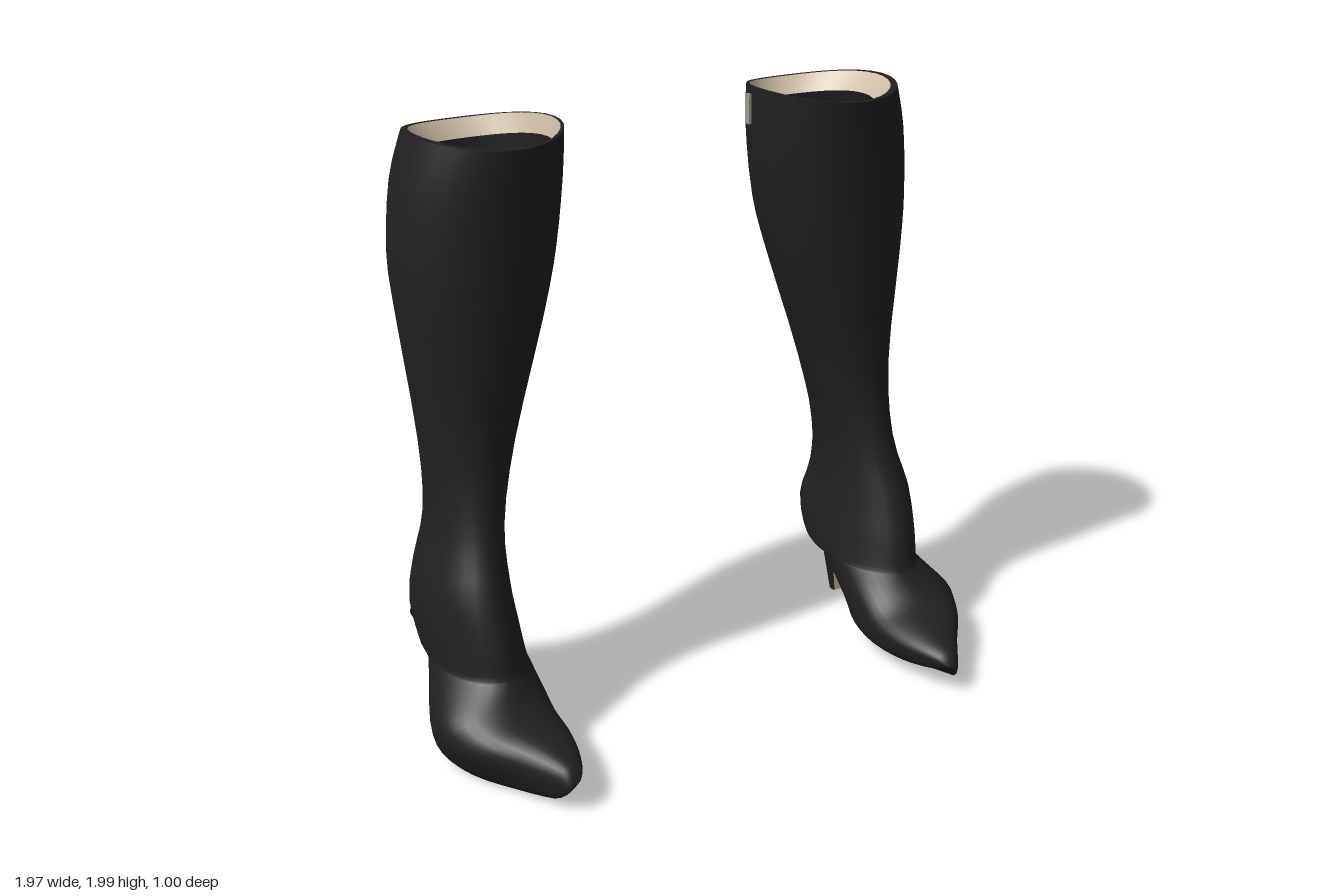
import * as THREE from 'three';

const N = 32; // points around each cross-section
const STEPS = 3; // cross-sections blended between two given ones

// Cross-section: [front z, front y, back z, back y, min x, max x, flatness of back, arch of sides]
const TOP = [0.035, 1.97, -0.495, 1.955, 0.37, 0.855, 0, 0.025];
const RIM_INNER = [0.018, 1.97, -0.48, 1.955, 0.38, 0.832, 0, 0.025];
const LINING_END = [-0.03, 1.91, -0.44, 1.9, 0.392, 0.787, 0, 0.02];

// Level shaft sections: [y, front z, back z, min x, max x]
const SHAFT = [
  [1.83, 0.02, -0.5, 0.37, 0.9],
  [1.6, 0.002, -0.49, 0.395, 0.922],
  [1.4, -0.01, -0.455, 0.445, 0.91],
  [1.0, -0.037, -0.388, 0.57, 0.87],
  [0.74, 0.0, -0.385, 0.637, 0.867],
  [0.56, 0.07, -0.42, 0.645, 0.908],
].map(([y, zf, zb, x0, x1]) => [zf, y, zb, y, x0, x1, 0, 0]);

// Foot sections fan round from level at the ankle to upright at the toe
const FOOT = [
  [0.118, 0.42, -0.476, 0.4, 0.628, 0.918, 0],
  [0.14, 0.32, -0.4, 0.285, 0.62, 0.912, 0.1],
  [0.155, 0.29, -0.28, 0.27, 0.622, 0.918, 0.25],
  [0.2, 0.24, -0.07, 0.135, 0.615, 0.982, 0.8],
  [0.25, 0.215, 0.02, 0.055, 0.612, 0.975, 1],
  [0.32, 0.197, 0.15, 0.028, 0.612, 0.925, 1],
  [0.4, 0.175, 0.3, 0.034, 0.633, 0.84, 1],
  [0.47, 0.15, 0.44, 0.06, 0.67, 0.77, 1],
  [0.497, 0.115, 0.495, 0.09, 0.698, 0.74, 0.6],
  [0.5, 0.102, 0.5, 0.102, 0.715, 0.722, 0],
].map((ring) => [...ring, 0]);

// Heel sections: [y, front z, back z, half width]; turned round so the flat side faces forward
const HEEL = [
  [0.34, -0.25, -0.45, 0.1],
  [0.27, -0.275, -0.39, 0.068],
  [0.2, -0.283, -0.362, 0.046],
  [0.037, -0.291, -0.332, 0.022],
  [0.037, -0.311, -0.311, 0],
].map(([y, zf, zb, w]) => [zb, y, zf, y, 0.785 + w, 0.785 - w, 1, 0]);

// Blend each value of neighbouring sections along a smooth curve
function smooth(rings) {
  const out = [];
  for (let n = 0; n <= (rings.length - 1) * STEPS; n++) {
    const i = Math.min(Math.floor(n / STEPS), rings.length - 2);
    const t = n / STEPS - i;
    const before = rings[Math.max(i - 1, 0)], after = rings[Math.min(i + 2, rings.length - 1)];
    out.push(rings[i].map((p, k) => {
      const q = rings[i + 1][k], m0 = (q - before[k]) / 2, m1 = (after[k] - p) / 2;
      return p + m0 * t + (3 * (q - p) - 2 * m0 - m1) * t * t + (2 * (p - q) + m0 + m1) * t * t * t;
    }));
  }
  return out;
}

const power = (v) => Math.sign(v) * Math.pow(Math.abs(v), 0.6);

// Skin the rings, keeping only the quads accepted by keep(ring, segment)
function loft(rings, { keep = () => true, roll = 0, mirror = false }) {
  const pos = [], index = [];
  for (const [zf, yf, zb, yb, x0, x1, flatness, arch] of rings) {
    const flat = THREE.MathUtils.clamp(flatness, 0, 1);
    for (let j = 0; j < N; j++) {
      const t = (j / N) * Math.PI * 2;
      let u = Math.cos(t), s = Math.sin(t);
      if (u < 0) {
        u += (Math.max(-1, power(u) * 1.25) - u) * flat;
        s += (power(s) - s) * flat;
      }
      const k = (1 - u) / 2;
      const x = (x0 + x1) / 2 + (s * (x1 - x0)) / 2;
      const y = yf + (yb - yf) * k + arch * s * s - roll * flat * s * k;
      pos.push(mirror ? -x : x, y, zf + (zb - zf) * k);
    }
  }
  for (let i = 0; i < rings.length - 1; i++) {
    for (let j = 0; j < N; j++) {
      if (!keep(i, j)) continue;
      const a = i * N + j, d = i * N + ((j + 1) % N), b = a + N, c = d + N;
      if (mirror) index.push(a, c, b, a, d, c);
      else index.push(a, b, c, a, c, d);
    }
  }
  const g = new THREE.BufferGeometry();
  g.setAttribute('position', new THREE.Float32BufferAttribute(pos, 3));
  g.setIndex(index);
  g.computeVertexNormals();
  return g;
}

export function createModel() {
  const leather = new THREE.MeshStandardMaterial({ name: 'black leather', color: 0x202020, side: THREE.DoubleSide });
  const tan = new THREE.MeshStandardMaterial({ name: 'beige lining', color: 0xd0c0a8, side: THREE.DoubleSide });
  const metal = new THREE.MeshStandardMaterial({ name: 'zip metal', color: 0xa09a8c });

  const upper = smooth([TOP, ...SHAFT, ...FOOT]);
  const soleStart = (SHAFT.length + 3) * STEPS, soleEnd = soleStart + 5 * STEPS;
  const flatSide = (j) => j >= 12 && j < 20;
  const isSole = (i, j) => i >= soleStart && i < soleEnd && flatSide(j);
  const isBreast = (i, j) => i < 3 && flatSide(j);

  function boot(name, mirror) {
    const group = new THREE.Group();
    group.name = name;
    const add = (part, geometry, material) => {
      const mesh = new THREE.Mesh(geometry, material);
      mesh.name = part;
      group.add(mesh);
      return mesh;
    };
    // Shaft and foot in one skin, with the sole as its underside
    add('upper', loft(upper, { keep: (i, j) => !isSole(i, j), roll: 0.03, mirror }), leather);
    add('sole', loft(upper, { keep: isSole, roll: 0.03, mirror }), tan);
    // Stiletto heel with a pale front face
    add('heel', loft(HEEL, { keep: (i, j) => !isBreast(i, j), mirror }), leather);
    add('heelBreast', loft(HEEL, { keep: isBreast, mirror }), tan);
    // Opening
    add('topEdge', loft([TOP, RIM_INNER], { mirror }), leather);
    add('lining', loft([RIM_INNER, LINING_END], { mirror }), tan);
    // Zip pull on the inner side
    const pull = add('zipPull', new THREE.BoxGeometry(0.009, 0.1, 0.02), metal);
    pull.position.set(mirror ? -0.368 : 0.368, 1.91, -0.29);
    return group;
  }

  const model = new THREE.Group();
  model.name = 'heeledBoots';
  model.add(boot('leftBoot', false), boot('rightBoot', true));
  return model;
}
